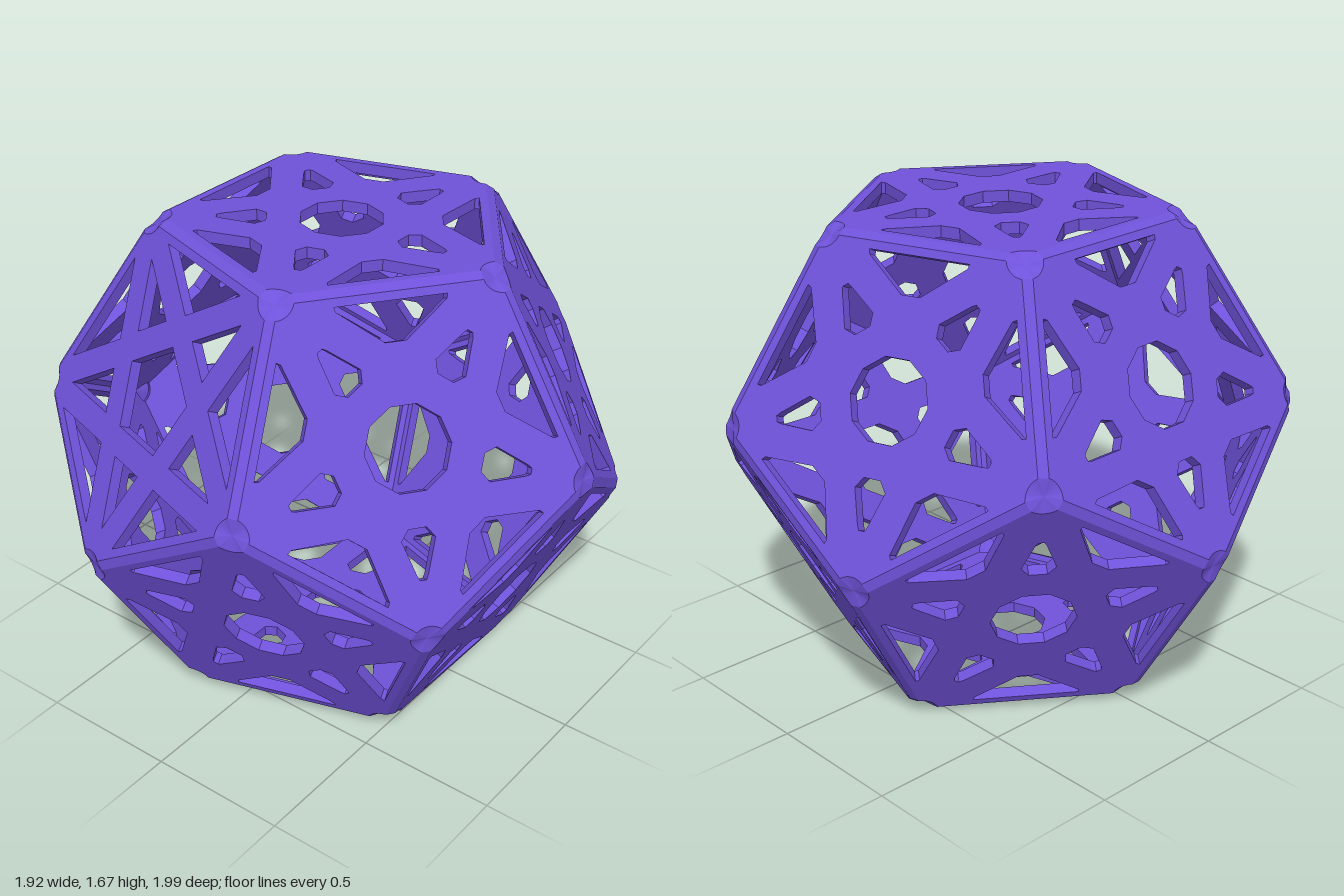
import * as THREE from 'three';

const EDGE = 0.741;                 // dodecahedron edge length
const INR = EDGE * 1.11352;         // centre to face
const RAD = EDGE * 0.85065;         // face centre to corner
const THICK = 0.04, INSET = 0.02, NOTCH = 0.068;
const D = Math.PI / 180;
const V3 = (x, y, z) => new THREE.Vector3(x, y, z);

// rotate a 2D point anticlockwise
const turn = ([x, y], deg) => {
  const c = Math.cos(deg * D), s = Math.sin(deg * D);
  return new THREE.Vector2(x * c - y * s, x * s + y * c);
};

// arc that rounds off the corner at the top of the pentagon, from its right side to its left
function cornerArc() {
  const cut = Math.asin(INSET / NOTCH), half = 54 * D - cut, pts = [];
  for (let i = 0; i <= 8; i++) {
    const a = -Math.PI / 2 + half - (2 * half * i) / 8;
    pts.push([NOTCH * Math.cos(a), RAD + NOTCH * Math.sin(a)]);
  }
  return pts;
}
const ARC = cornerArc();
const arcs = [0, 1, 2, 3, 4].map(k => ARC.map(p => turn(p, 72 * k)));

// hole outlines: tip holes point at corners (+y), side holes lie along the edges (+y before turning)
const mirrored = half => [...half, ...half.slice().reverse().map(([x, y]) => [-x, y])];
const ROUNDED = {
  tip: mirrored([[0.03, 0.25], [0.056, 0.285], [0.018, 0.4], [0.01, 0.415]]),
  side: mirrored([[0.035, 0.335], [0.05, 0.347], [0.18, 0.447], [0.183, 0.462]]),
  centre: Array.from({ length: 10 }, (_, i) => turn([0, 0.143], 18 + 36 * i).toArray()),
};
const STAR = {
  tip: [[0.075, 0.245], [0, 0.475], [-0.075, 0.245]],
  side: [[0, 0.298], [0.222, 0.46], [-0.222, 0.46]],
  centre: Array.from({ length: 5 }, (_, i) => turn([0, 0.186], 36 + 72 * i).toArray()),
};

// pierced pentagonal plate, outer surface at z = INR
function plateGeometry(pattern) {
  const shape = new THREE.Shape(arcs.flat());
  const cut = (pts, deg) => shape.holes.push(new THREE.Path(pts.map(p => turn(p, deg))));
  cut(pattern.centre, 0);
  for (let k = 0; k < 5; k++) {
    cut(pattern.tip, 72 * k);
    cut(pattern.side, 72 * k + 36);
  }
  const geo = new THREE.ExtrudeGeometry(shape, { depth: THICK, bevelEnabled: false });
  return geo.translate(0, 0, INR - THICK);
}

// orientation of each of the twelve faces
function faceFrames() {
  const frames = [];
  const add = (n, y) => {
    const x = y.clone().cross(n);
    frames.push(new THREE.Matrix4().makeBasis(x, y, n));
  };
  const s = 1 / Math.sqrt(5), c = 2 / Math.sqrt(5);
  add(V3(0, 1, 0), V3(0, 0, 1));
  add(V3(0, -1, 0), V3(0, 0, -1));
  for (const up of [1, -1]) {
    for (let k = 0; k < 5; k++) {
      const a = (72 * k + (up > 0 ? 36 : 0)) * D, sx = Math.sin(a), cz = Math.cos(a);
      add(V3(sx * c, up * s, cz * c), V3(sx * s, -up * c, cz * s).multiplyScalar(1));
    }
  }
  return frames;
}

// triangles wound so that they face away from the centre
function outwardGeometry(tris) {
  const pos = [];
  for (const [a, b, c] of tris) {
    const n = b.clone().sub(a).cross(c.clone().sub(a));
    for (const p of n.dot(a) > 0 ? [a, b, c] : [a, c, b]) pos.push(p.x, p.y, p.z);
  }
  const geo = new THREE.BufferGeometry();
  geo.setAttribute('position', new THREE.Float32BufferAttribute(pos, 3));
  geo.computeVertexNormals();
  return geo;
}

export function createModel() {
  const model = new THREE.Group();
  const ball = new THREE.Group();
  ball.name = 'piercedDodecahedron';
  model.add(ball);
  const material = new THREE.MeshStandardMaterial({ color: 0x6f52d9, flatShading: true, side: THREE.DoubleSide });
  const addMesh = (name, geo) => {
    const mesh = new THREE.Mesh(geo, material);
    mesh.name = name;
    ball.add(mesh);
    return mesh;
  };

  const frames = faceFrames();
  const rounded = plateGeometry(ROUNDED), star = plateGeometry(STAR);
  const corners = [];   // { point, rim } for each of the twenty corners
  const sides = [];     // inset face edges, paired up into chamfers
  const STAR_FACE = 5;  // upper face at the back right

  // face plates
  frames.forEach((m, f) => {
    const isStar = f === STAR_FACE;
    addMesh(isStar ? 'starPlate' : 'facePlate', isStar ? star : rounded).applyMatrix4(m);
    const place = p => V3(p.x, p.y, INR).applyMatrix4(m);
    const tip = k => place(turn([0, RAD], 72 * k));
    for (let k = 0; k < 5; k++) {
      const point = tip(k), rim = arcs[k].map(place);
      let corner = corners.find(c => c.point.distanceTo(point) < 0.01);
      if (!corner) corners.push(corner = { point, rim: [] });
      corner.rim.push(...rim);
      const a = place(arcs[k][8]), b = place(arcs[(k + 1) % 5][0]);
      sides.push({ a, b, mid: point.clone().add(tip((k + 1) % 5)).multiplyScalar(0.5) });
    }
  });

  // chamfer strips joining neighbouring plates
  const strips = [];
  sides.forEach((s, i) => {
    const t = sides.find((o, j) => j > i && o.mid.distanceTo(s.mid) < 0.01);
    if (t) strips.push([s.a, s.b, t.a], [s.a, t.a, t.b]);
  });
  addMesh('edgeChamfers', outwardGeometry(strips));

  // shallow caps closing the cut-off corners
  const caps = [];
  for (const { point, rim } of corners) {
    const axis = point.clone().normalize();
    const u = V3(0.3, 0.9, 0.2).cross(axis).normalize(), v = axis.clone().cross(u);
    const centre = axis.clone().multiplyScalar(point.length() - 0.04);
    const angle = p => Math.atan2(p.dot(v), p.dot(u));
    rim.sort((p, q) => angle(p) - angle(q));
    rim.forEach((p, i) => caps.push([centre, p, rim[(i + 1) % rim.length]]));
  }
  addMesh('cornerCaps', outwardGeometry(caps));

  // slight lean, resting on the ground
  ball.rotation.z = -0.018;
  ball.position.y = 0.835;
  return model;
}
